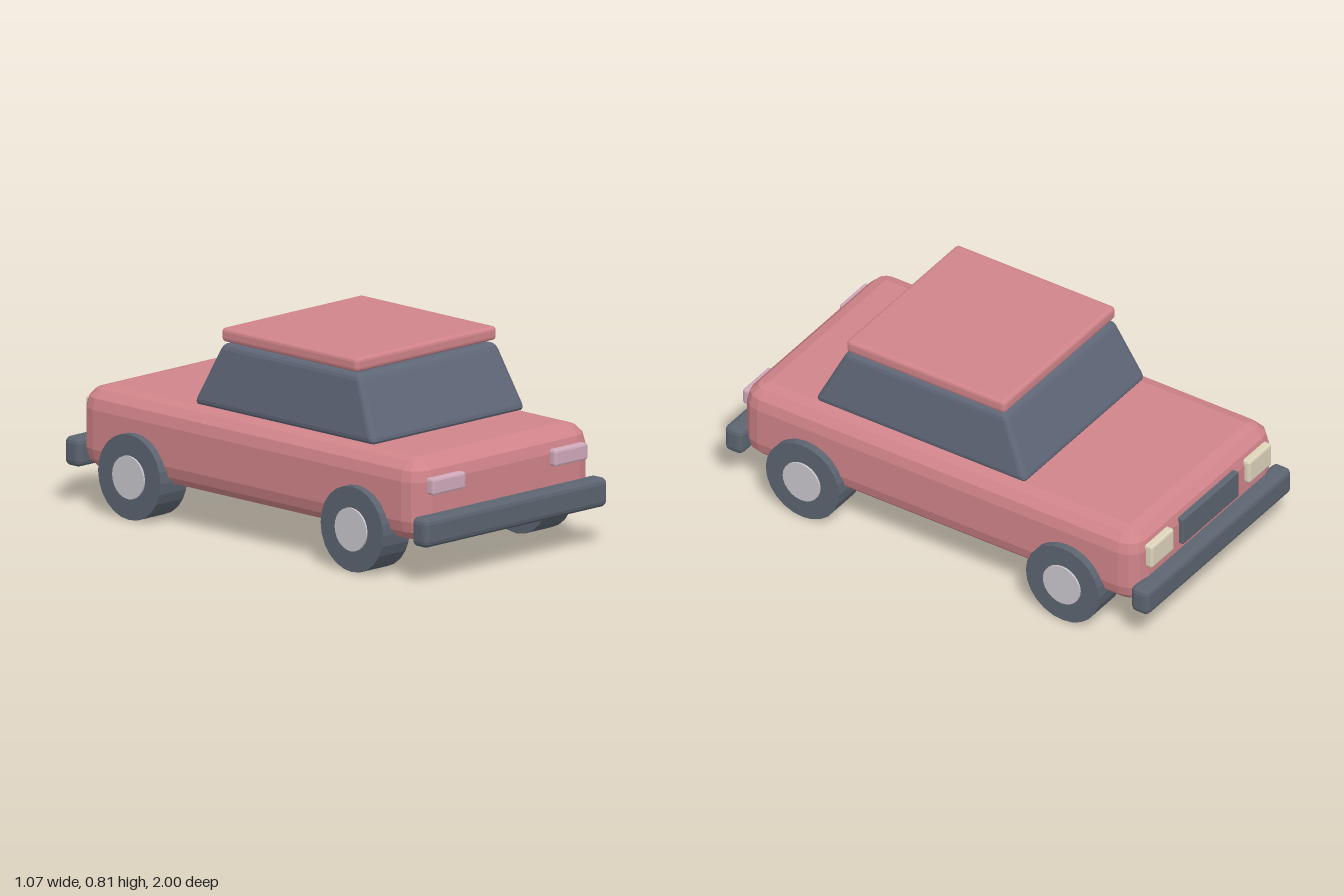
import * as THREE from 'three';
import { ConvexGeometry } from 'three/addons/geometries/ConvexGeometry.js';

const mat = (name, color) => {
  const m = new THREE.MeshStandardMaterial({ color });
  m.name = name;
  m.flatShading = true;
  return m;
};

// Box between two corners, with edges rounded in `steps` flat bands.
// topScale narrows it towards the top: [x factor, z factor, z centre of the top].
function bevelBox(min, max, r, steps = 3, topScale = null) {
  const points = [];
  for (const sx of [-1, 1]) for (const sy of [-1, 1]) for (const sz of [-1, 1]) {
    for (let i = 0; i <= steps; i++) {
      const lat = (i / steps) * Math.PI / 2;
      const around = i === steps ? 0 : steps;
      for (let j = 0; j <= around; j++) {
        const lon = (j / steps) * Math.PI / 2;
        const n = [Math.cos(lat) * Math.cos(lon), Math.sin(lat), Math.cos(lat) * Math.sin(lon)];
        const p = [sx, sy, sz].map((s, k) => (s > 0 ? max[k] - r + n[k] * r : min[k] + r - n[k] * r));
        if (topScale) {
          const t = (p[1] - min[1]) / (max[1] - min[1]);
          const zMid = (min[2] + max[2]) / 2;
          p[0] *= 1 + (topScale[0] - 1) * t;
          p[2] = zMid + (topScale[2] - zMid) * t + (p[2] - zMid) * (1 + (topScale[1] - 1) * t);
        }
        points.push(new THREE.Vector3(...p));
      }
    }
  }
  return new ConvexGeometry(points);
}

export function createModel() {
  const car = new THREE.Group();
  car.name = 'car';

  const paint = mat('rose paint', 0xd0848a);
  const glass = mat('dark glass', 0x5f6677);
  const rubber = mat('dark trim', 0x5c6470);
  const metal = mat('hub metal', 0xc9c7cd);
  const pinkLens = mat('pink lens', 0xd0aabc);
  const creamLens = mat('cream lens', 0xddd4bb);

  const add = (name, geometry, material, parent = car) => {
    const mesh = new THREE.Mesh(geometry, material);
    mesh.name = name;
    parent.add(mesh);
    return mesh;
  };

  // Body, cabin and floating roof panel
  add('body', bevelBox([-0.495, 0.15, -0.937], [0.495, 0.485, 0.937], 0.088), paint);
  add('cabin', bevelBox([-0.427, 0.49, -0.372], [0.427, 0.75, 0.632], 0.025, 3, [0.9, 0.75, 0.13]), glass);
  add('roof', bevelBox([-0.39, 0.757, -0.247], [0.39, 0.813, 0.502], 0.016), paint);

  // Bumpers
  add('frontBumper', bevelBox([-0.507, 0.152, 0.914], [0.507, 0.27, 1], 0.025), rubber);
  add('rearBumper', bevelBox([-0.507, 0.152, -1], [0.507, 0.27, -0.914], 0.025), rubber);

  // Lights at both ends
  for (const side of [-1, 1]) {
    const label = side > 0 ? 'left' : 'right';
    const span = (a, b) => (side > 0 ? [a, b] : [-b, -a]);
    const [f0, f1] = span(0.246, 0.43);
    add(label + 'FrontLight', bevelBox([f0, 0.347, 0.91], [f1, 0.415, 0.963], 0.01, 2), pinkLens);
    const [b0, b1] = span(0.262, 0.42);
    add(label + 'RearLight', bevelBox([b0, 0.32, -0.962], [b1, 0.423, -0.91], 0.01, 2), creamLens);
  }

  // Grille panel between the cream lights
  add('grille', bevelBox([-0.195, 0.3, -0.957], [0.195, 0.42, -0.91], 0.006, 2), rubber);

  // Wheels: tyre with a slightly proud hub on the outer face
  const tyre = new THREE.CylinderGeometry(0.172, 0.172, 0.148, 24).rotateZ(Math.PI / 2);
  const hub = new THREE.CylinderGeometry(0.087, 0.087, 0.1, 24).rotateZ(Math.PI / 2);
  for (const side of [-1, 1]) for (const z of [0.613, -0.613]) {
    const wheel = new THREE.Group();
    wheel.name = (side > 0 ? 'left' : 'right') + (z > 0 ? 'Front' : 'Rear') + 'Wheel';
    wheel.position.set(side * 0.455, 0.172, z);
    add('tyre', tyre, rubber, wheel);
    add('hub', hub, metal, wheel).position.x = side * 0.032;
    car.add(wheel);
  }
  return car;
}
